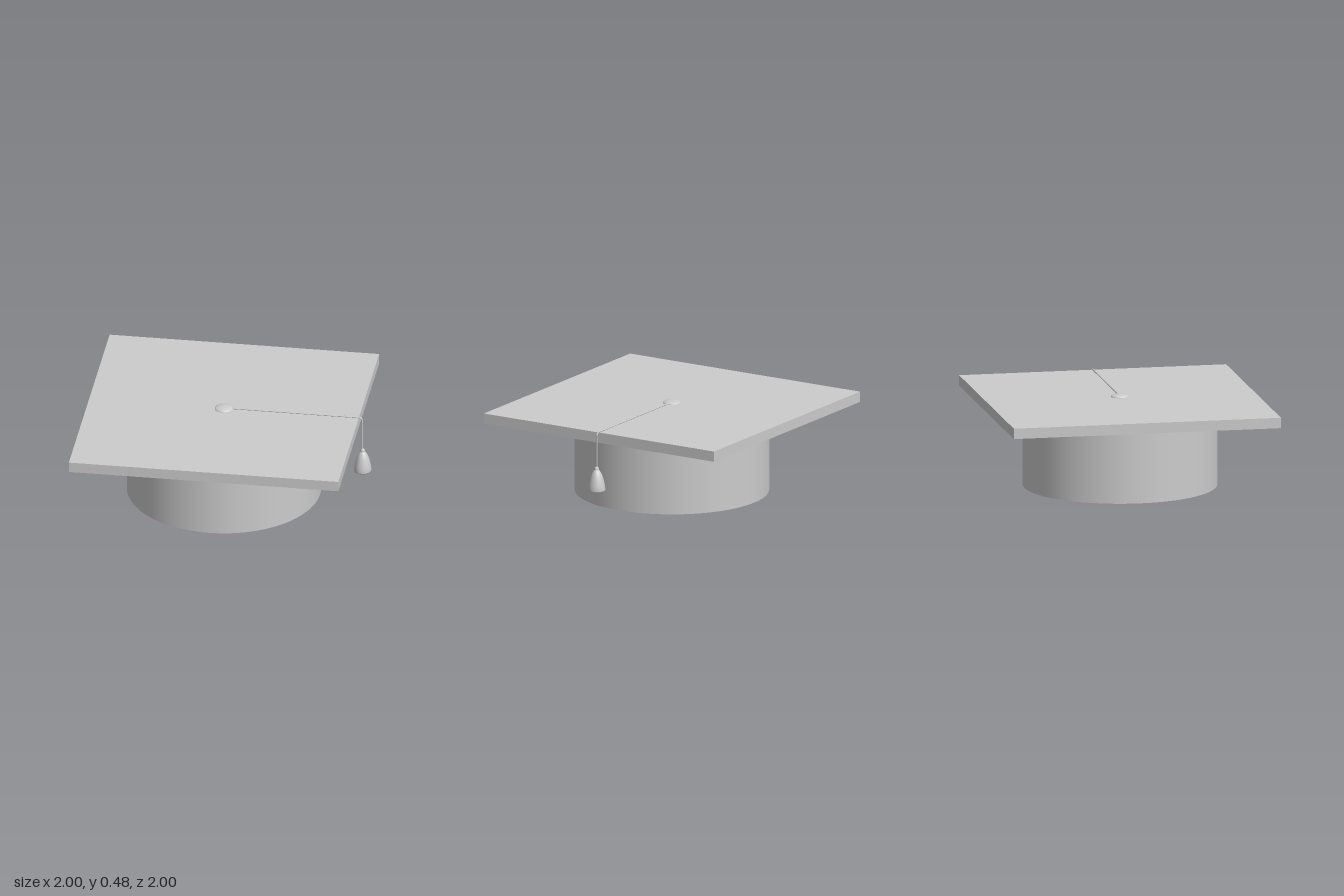
import * as THREE from 'three';

export function createModel() {
  const group = new THREE.Group();
  const material = new THREE.MeshStandardMaterial({ color: 0xcccccc });
  const add = (name, geometry, x = 0, y = 0, z = 0) => {
    const mesh = new THREE.Mesh(geometry, material);
    mesh.name = name;
    mesh.position.set(x, y, z);
    group.add(mesh);
    return mesh;
  };

  // Closed skull cap
  add('skullCap', new THREE.CylinderGeometry(0.505, 0.505, 0.41, 64), 0, 0.205, 0);

  // Square board, turned so that its corners point along the axes
  const board = add('board', new THREE.BoxGeometry(Math.SQRT2, 0.055, Math.SQRT2), 0, 0.4375, 0);
  board.rotation.y = Math.PI / 4;

  // Flattened button in the middle of the board
  const button = add('button', new THREE.SphereGeometry(0.048, 32, 16), 0, 0.465, 0);
  button.scale.y = 0.3;

  // Cord lies along the board, bends over the edge and hangs down
  const edge = 0.513;
  const at = (d, y) => new THREE.Vector3(d, y, -d);
  const cord = new THREE.CurvePath();
  cord.add(new THREE.LineCurve3(at(0, 0.468), at(edge - 0.015, 0.468)));
  cord.add(new THREE.QuadraticBezierCurve3(at(edge - 0.015, 0.468), at(edge, 0.468), at(edge, 0.45)));
  cord.add(new THREE.LineCurve3(at(edge, 0.45), at(edge, 0.27)));
  add('cord', new THREE.TubeGeometry(cord, 120, 0.004, 8));

  // Bell-shaped tassel: knot, flared skirt and closed underside
  const skirt = new THREE.SplineCurve([
    [0.045, 0.158], [0.044, 0.18], [0.038, 0.21], [0.029, 0.24], [0.018, 0.262], [0.011, 0.27],
  ].map(([r, y]) => new THREE.Vector2(r, y))).getPoints(16);
  const profile = [
    new THREE.Vector2(0, 0.153), new THREE.Vector2(0.03, 0.154),
    ...skirt,
    new THREE.Vector2(0.011, 0.279), new THREE.Vector2(0.007, 0.285), new THREE.Vector2(0, 0.286),
  ];
  add('tassel', new THREE.LatheGeometry(profile, 32), edge + 0.002, 0, -edge - 0.002);

  return group;
}
